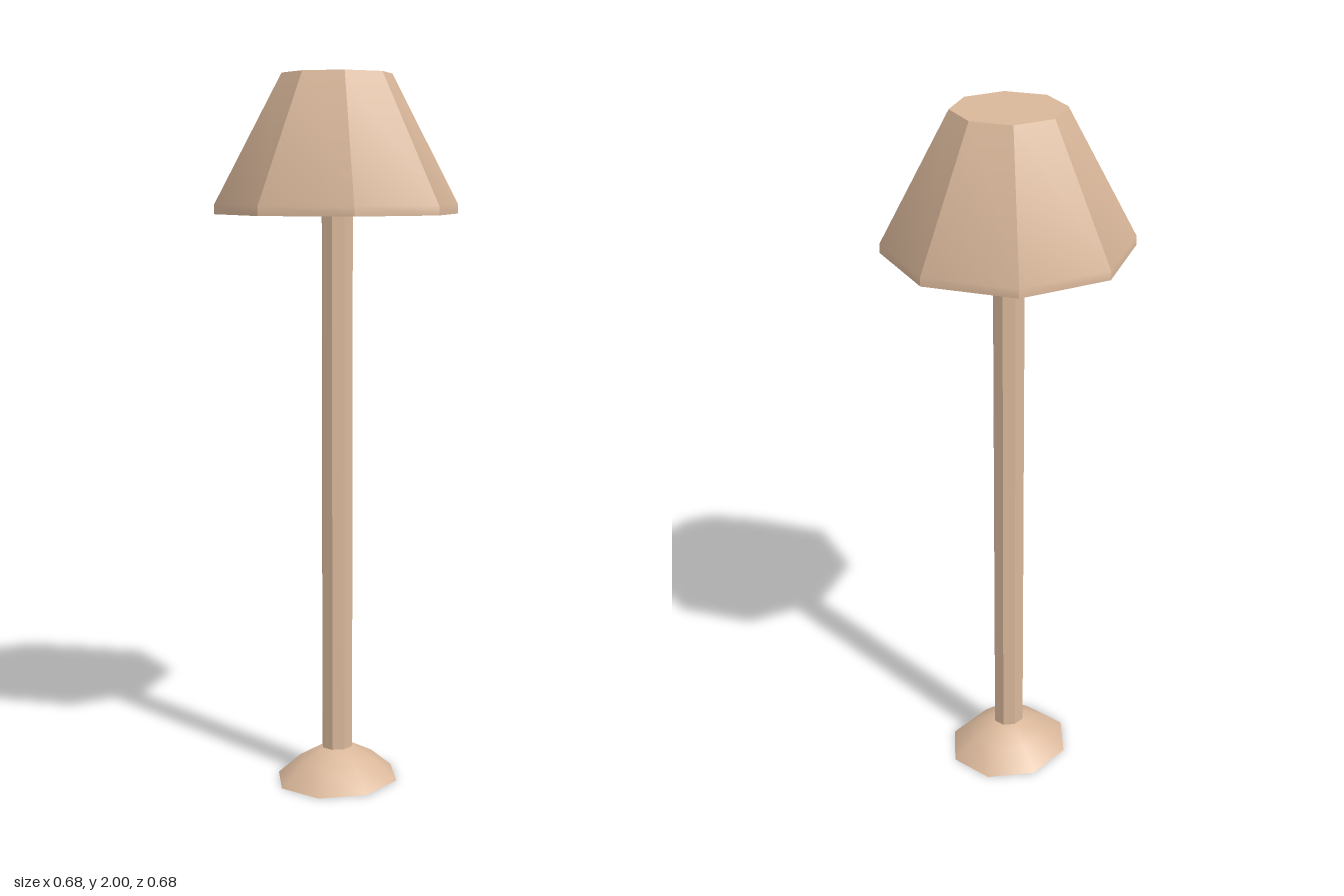
import * as THREE from 'three';
import { toCreasedNormals } from 'three/addons/utils/BufferGeometryUtils.js';

const SIDES = 8;
const CREASE = THREE.MathUtils.degToRad(36);

// Eight-sided turned part; profile rows are [radius, y] from bottom to top
function turned(name, profile, turnDegrees, scaleX, scaleZ, material) {
  const points = profile.map(([r, y]) => new THREE.Vector2(r, y));
  const lathe = new THREE.LatheGeometry(points, SIDES, THREE.MathUtils.degToRad(turnDegrees));
  lathe.scale(scaleX, 1, scaleZ);
  const mesh = new THREE.Mesh(toCreasedNormals(lathe, CREASE), material);
  mesh.name = name;
  return mesh;
}

export function createModel() {
  const group = new THREE.Group();
  group.name = 'floorLamp';

  const tan = new THREE.MeshStandardMaterial({ color: 0xd9b79a });
  tan.name = 'tan';

  // Low domed foot, slightly longer in z
  group.add(turned('base',
    [[0, 0], [0.18, 0], [0.113, 0.058], [0.045, 0.095], [0, 0.095]],
    25, 0.95, 1.05, tan));

  // Slim post
  group.add(turned('pole',
    [[0, 0.05], [0.0455, 0.05], [0.0455, 1.63], [0, 1.63]],
    24, 0.95, 1.05, tan));

  // Closed tapered shade with a short upright rim
  group.add(turned('shade',
    [[0, 1.62], [0.339, 1.62], [0.339, 1.645], [0.152, 2], [0, 2]],
    2, 0.997, 1.008, tan));

  return group;
}
